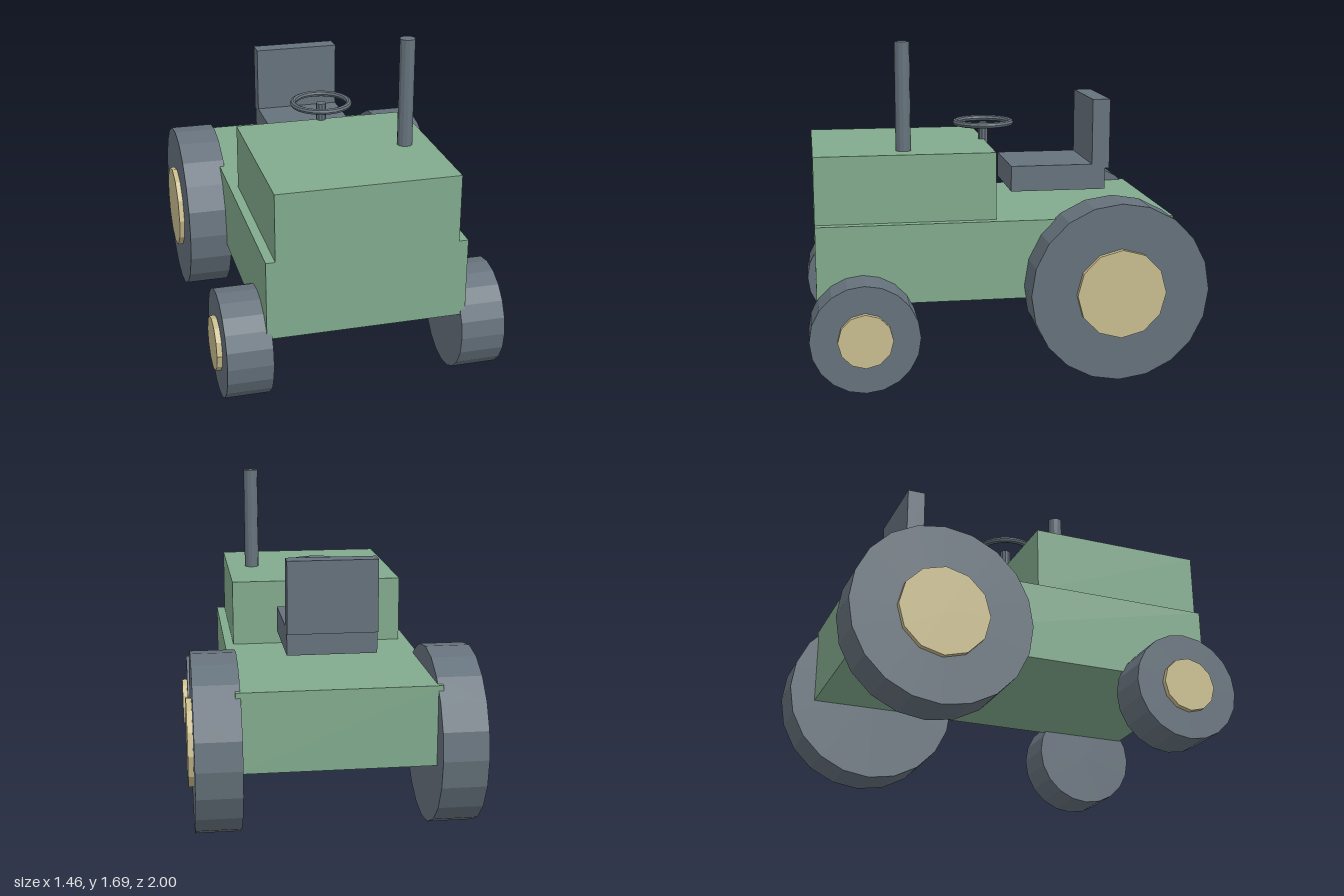
import * as THREE from 'three';

export function createModel() {
  const model = new THREE.Group();
  model.name = 'tractor';

  const mat = (name, color) => {
    const m = new THREE.MeshStandardMaterial({ color, flatShading: true });
    m.name = name;
    return m;
  };
  const green = mat('bodyGreen', 0x81ab8d);
  const grey = mat('slateGrey', 0x66727c);
  const cream = mat('hubCream', 0xc9bd8e);

  const add = (name, geometry, material, parent = model) => {
    const mesh = new THREE.Mesh(geometry, material);
    mesh.name = name;
    parent.add(mesh);
    return mesh;
  };

  // Box given by its limits on each axis
  const box = (name, [x0, x1], [y0, y1], [z0, z1], material) =>
    add(name, new THREE.BoxGeometry(x1 - x0, y1 - y0, z1 - z0), material)
      .position.set((x0 + x1) / 2, (y0 + y1) / 2, (z0 + z1) / 2);

  // Upright rod
  const rod = (name, r, x, y0, y1, z, sides) =>
    add(name, new THREE.CylinderGeometry(r, r, y1 - y0, sides), grey)
      .position.set(x, (y0 + y1) / 2, z);

  // Chassis and engine hood
  box('chassis', [-0.5, 0.5], [0.39, 0.795], [-0.866, 0.956], green);
  box('hood', [-0.454, 0.454], [0.795, 1.138], [0.045, 0.956], green);

  // Seat
  box('seatCushion', [-0.226, 0.226], [0.889, 1.023], [-0.572, -0.07], grey);
  box('seatBack', [-0.226, 0.226], [1.0, 1.366], [-0.595, -0.502], grey);

  // Exhaust and steering
  rod('exhaust', 0.039, 0.316, 1.1, 1.687, 0.5, 12);
  rod('steeringColumn', 0.027, 0, 0.82, 1.228, 0.046, 10);
  const ring = add('steeringWheel', new THREE.TorusGeometry(0.147, 0.016, 8, 24), grey);
  ring.rotation.x = Math.PI / 2;
  ring.position.set(0, 1.229, 0.046);

  // Wheels: tyre plus a hub disc standing off the outer face
  const wheel = (name, side, r, hubR, z) => {
    const group = new THREE.Group();
    group.name = name;
    group.position.set(side * 0.588, r, z);
    const tyre = add('tyre', new THREE.CylinderGeometry(r, r, 0.226, 20), grey, group);
    const hub = add('hub', new THREE.CylinderGeometry(hubR, hubR, 0.04, 12), cream, group);
    hub.position.x = side * 0.12;
    tyre.rotation.z = hub.rotation.z = Math.PI / 2;
    model.add(group);
  };
  for (const [label, side] of [['Left', 1], ['Right', -1]]) {
    wheel('rearWheel' + label, side, 0.454, 0.226, -0.546);
    wheel('frontWheel' + label, side, 0.272, 0.136, 0.728);
  }

  return model;
}
